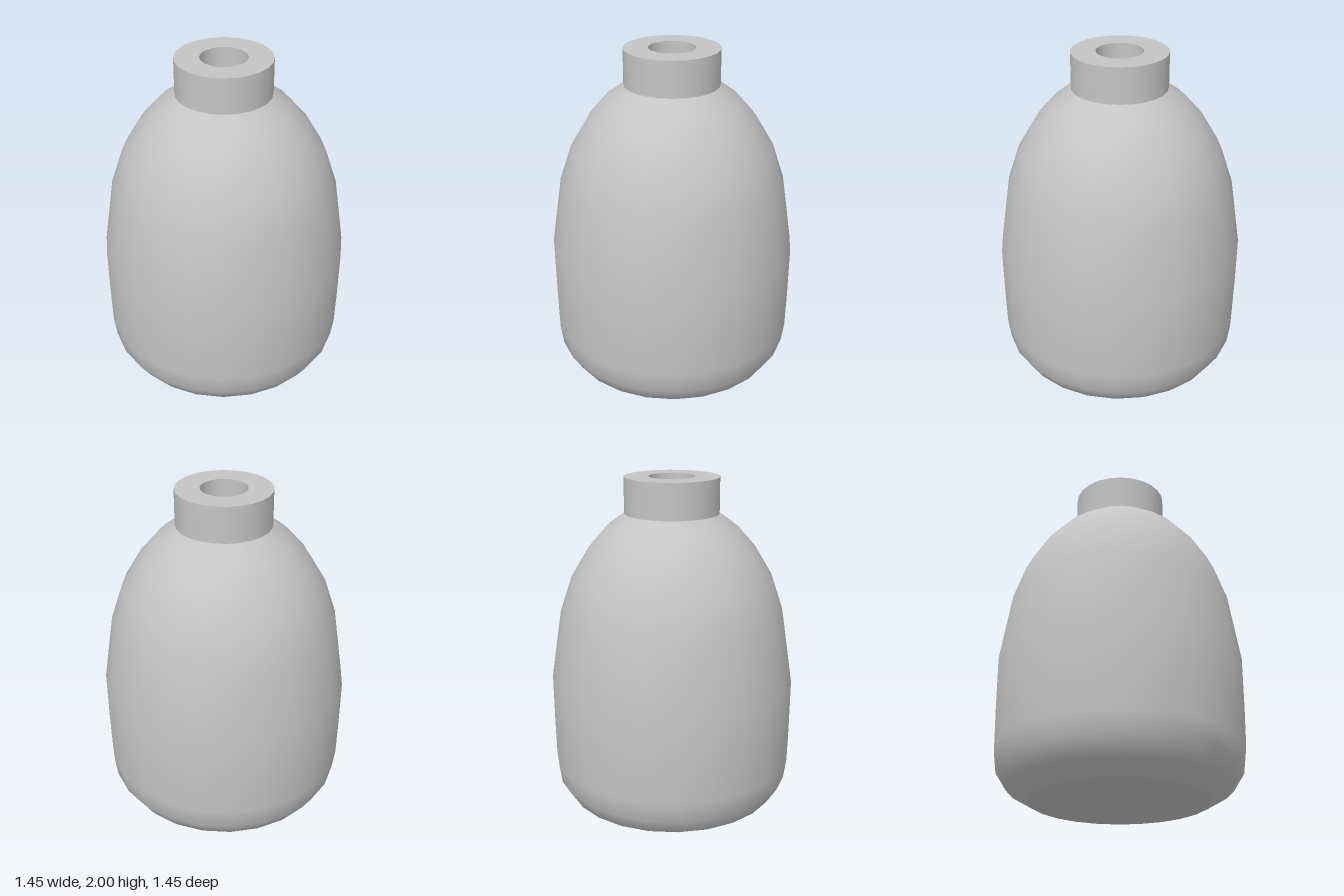
import * as THREE from 'three';

const SIDES = 24;

export function createModel() {
  const group = new THREE.Group();
  group.name = 'bottle';
  const grey = new THREE.MeshStandardMaterial({ color: 0xc4c4c4 });
  grey.name = 'light grey';

  // Revolve a profile of [radius, height] pairs, smooth along its length
  const lathe = (name, profile) => {
    const points = profile.map(([r, y]) => new THREE.Vector2(r, y));
    const mesh = new THREE.Mesh(new THREE.LatheGeometry(points, SIDES), grey);
    mesh.name = name;
    group.add(mesh);
  };

  // Rounded body, from the base edge up to the shoulder
  lathe('body', [
    [0.52, 0], [0.642, 0.07], [0.705, 0.17], [0.721, 0.29], [0.725, 0.5], [0.727, 0.8],
    [0.663, 1.21], [0.592, 1.42], [0.49, 1.59], [0.385, 1.71], [0.277, 1.79],
  ]);
  lathe('base', [[0, 0], [0.52, 0]]);

  // Neck ring with a straight bore closed at the shoulder
  lathe('neckWall', [[0.277, 1.79], [0.277, 2]]);
  lathe('neckRim', [[0.277, 2], [0.135, 2]]);
  lathe('boreWall', [[0.135, 2], [0.135, 1.79]]);
  lathe('boreFloor', [[0.135, 1.79], [0, 1.79]]);

  return group;
}
